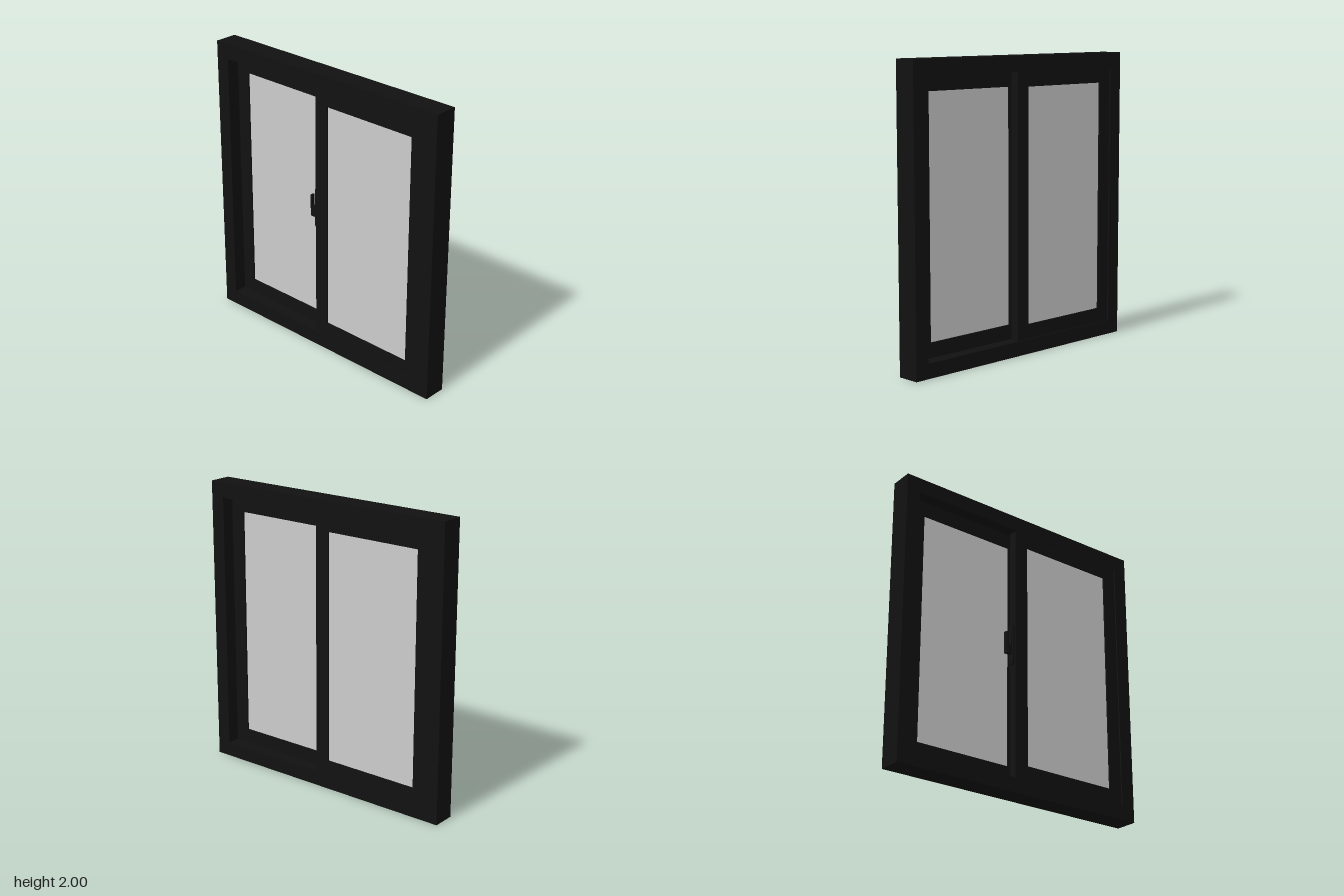
import * as THREE from 'three';

const black = new THREE.MeshStandardMaterial({ color: 0x111111 });
const grey = new THREE.MeshStandardMaterial({ color: 0xcccccc });

function rectPath(target, x0, y0, x1, y1) {
  target.moveTo(x0, y0);
  target.lineTo(x1, y0);
  target.lineTo(x1, y1);
  target.lineTo(x0, y1);
  target.closePath();
  return target;
}

// Rectangular ring, extruded from z0 to z1
function ring(name, outer, inner, z0, z1) {
  const shape = rectPath(new THREE.Shape(), ...outer);
  shape.holes.push(rectPath(new THREE.Path(), ...inner));
  const geo = new THREE.ExtrudeGeometry(shape, { depth: z1 - z0, bevelEnabled: false });
  geo.translate(0, 0, z0);
  const mesh = new THREE.Mesh(geo, black);
  mesh.name = name;
  return mesh;
}

// Sliding sash: frame ring plus a pane set into it
function sash(name, x0, x1, z) {
  const g = new THREE.Group();
  g.name = name;
  const y0 = 0.1, y1 = 1.895, w = 0.1;
  g.add(ring('sashFrame', [x0, y0, x1, y1], [x0 + w, y0 + w, x1 - w, y1 - w], z - 0.03, z + 0.03));
  const pane = new THREE.Mesh(new THREE.BoxGeometry(x1 - x0 - 2 * w, y1 - y0 - 2 * w, 0.04), grey);
  pane.position.set((x0 + x1) / 2, (y0 + y1) / 2, z);
  pane.name = 'glassPane';
  g.add(pane);
  return g;
}

// Pull handle on the edge of the front sash
function handle(z) {
  const g = new THREE.Group();
  g.name = 'handle';

  // Back plate with rounded ends, lying against the stile edge
  const r = 0.02;
  const plate = new THREE.Shape();
  plate.absarc(0, 0.13, r, 0, Math.PI);
  plate.absarc(0, -0.13, r, Math.PI, Math.PI * 2);
  plate.closePath();
  const plateGeo = new THREE.ExtrudeGeometry(plate, { depth: 0.016, bevelEnabled: false, curveSegments: 10 });
  plateGeo.rotateY(-Math.PI / 2);
  plateGeo.translate(-0.05, 1.04, z);
  const plateMesh = new THREE.Mesh(plateGeo, black);
  plateMesh.name = 'handlePlate';

  // Hook-shaped grip with a round-bottomed finger slot
  const hook = new THREE.Shape();
  hook.moveTo(-0.06, 0.965);
  hook.lineTo(-0.114, 0.965);
  hook.lineTo(-0.114, 1.12);
  hook.lineTo(-0.103, 1.12);
  hook.lineTo(-0.103, 1.05);
  hook.absarc(-0.087, 1.05, 0.016, Math.PI, Math.PI * 2);
  hook.lineTo(-0.071, 1.12);
  hook.lineTo(-0.06, 1.12);
  hook.closePath();
  const hookGeo = new THREE.ExtrudeGeometry(hook, { depth: 0.024, bevelEnabled: false, curveSegments: 10 });
  hookGeo.translate(0, 0, z - 0.012);
  const hookMesh = new THREE.Mesh(hookGeo, black);
  hookMesh.name = 'handleGrip';

  g.add(plateMesh, hookMesh);
  return g;
}

export function createModel() {
  const model = new THREE.Group();
  model.name = 'slidingWindow';
  model.add(ring('outerFrame', [-0.95, 0, 0.95, 2], [-0.85, 0.1, 0.85, 1.895], -0.08, 0.08));
  // The two sashes overlap at the middle, on separate tracks
  model.add(sash('frontSash', -0.05, 0.85, 0.04));
  model.add(sash('backSash', -0.85, 0.05, -0.04));
  model.add(handle(0.04));
  return model;
}
